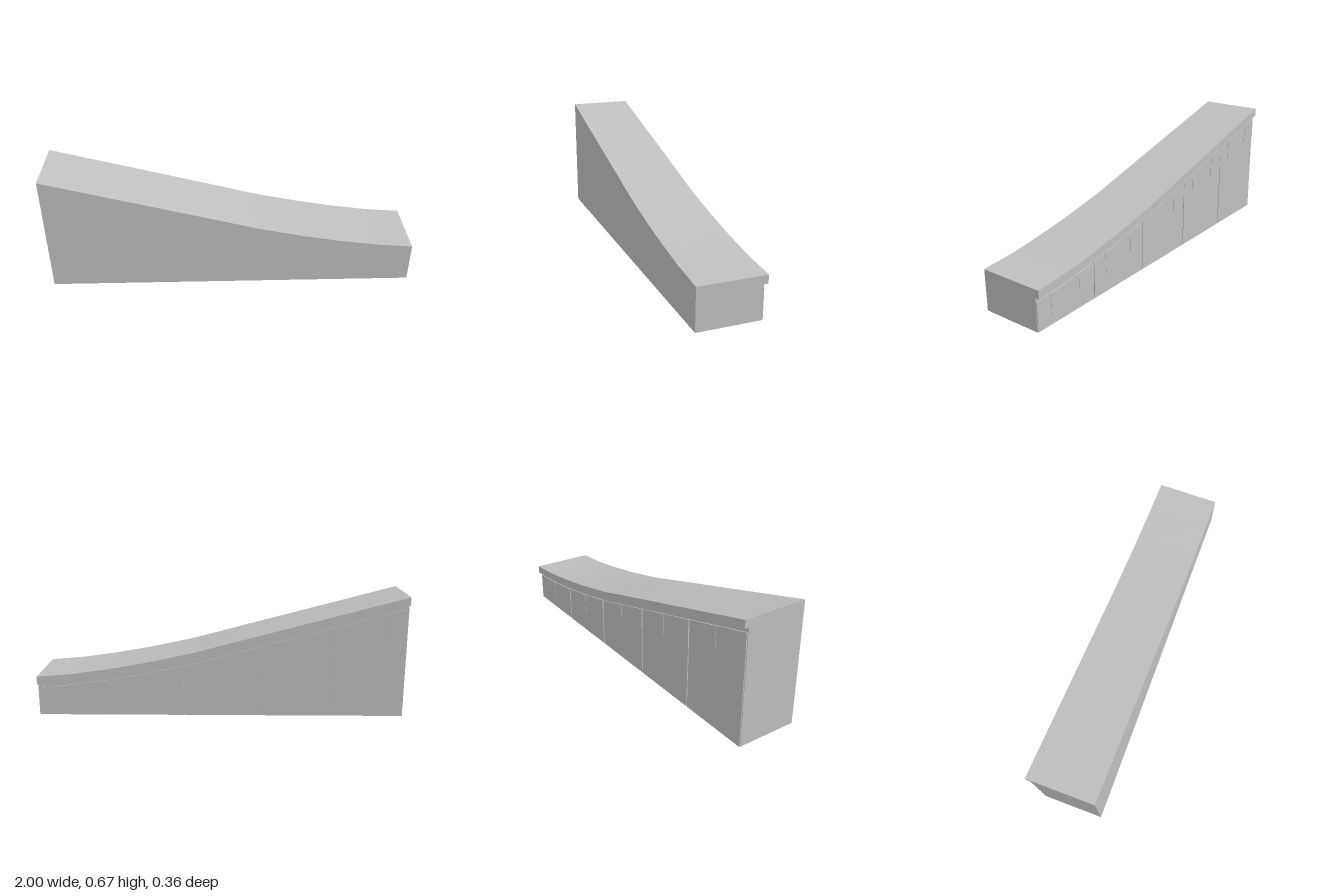
import * as THREE from 'three';

// Height of the sloping top: a straight ramp that eases out toward +x
const CREST = [[-1, 0.665], [-0.03, 0.407], [0.13, 0.363], [0.2, 0.347], [0.4, 0.304],
  [0.6, 0.268], [0.8, 0.239], [1, 0.222]];

function crest(x) {
  let i = 0;
  while (i < CREST.length - 2 && x > CREST[i + 1][0]) i++;
  const [x0, y0] = CREST[i], [x1, y1] = CREST[i + 1];
  return y0 + (y1 - y0) * (x - x0) / (x1 - x0);
}

// Slab from x0 to x1 and z0 to z1; its top lies `top` below the crest,
// its underside `bottom` below the crest, or on the ground when null
function slab(name, material, x0, x1, z0, z1, top, bottom = null) {
  const xs = [x0, ...CREST.map(p => p[0]).filter(x => x > x0 && x < x1), x1];
  const upper = xs.map(x => new THREE.Vector2(x, crest(x) - top));
  const lower = bottom === null
    ? [new THREE.Vector2(x0, 0), new THREE.Vector2(x1, 0)]
    : xs.map(x => new THREE.Vector2(x, crest(x) - bottom));
  const shape = new THREE.Shape([...lower, ...upper.reverse()]);
  const geometry = new THREE.ExtrudeGeometry(shape, { depth: z1 - z0, bevelEnabled: false });
  geometry.translate(0, 0, z0);
  const mesh = new THREE.Mesh(geometry, material);
  mesh.name = name;
  return mesh;
}

export function createModel() {
  const model = new THREE.Group();
  model.name = 'slopedWall';
  const concrete = new THREE.MeshStandardMaterial({ color: 0xbfbfbf });
  concrete.name = 'concrete grey';

  // Solid core and the coping that overhangs at the back
  model.add(slab('wallCore', concrete, -1, 1, -0.155, 0.178, 0));
  model.add(slab('coping', concrete, -1, 1, -0.178, -0.155, 0, 0.044));

  // Facing panels separated by narrow joints, with a recess below the coping
  const joint = 0.003;
  for (let i = 0; i < 5; i++) {
    const x = -1 + i * 0.4;
    model.add(slab('facingPanel', concrete, x + joint, x + 0.4 - joint, -0.16, -0.155, 0.066));
  }

  // Raised plates that follow the slope
  for (let i = 0; i < 10; i++) {
    const x = -1 + i * 0.2 + joint;
    model.add(slab('raisedPlate', concrete, x, x + 0.105, -0.162, -0.16, 0.066, 0.18));
  }
  return model;
}
